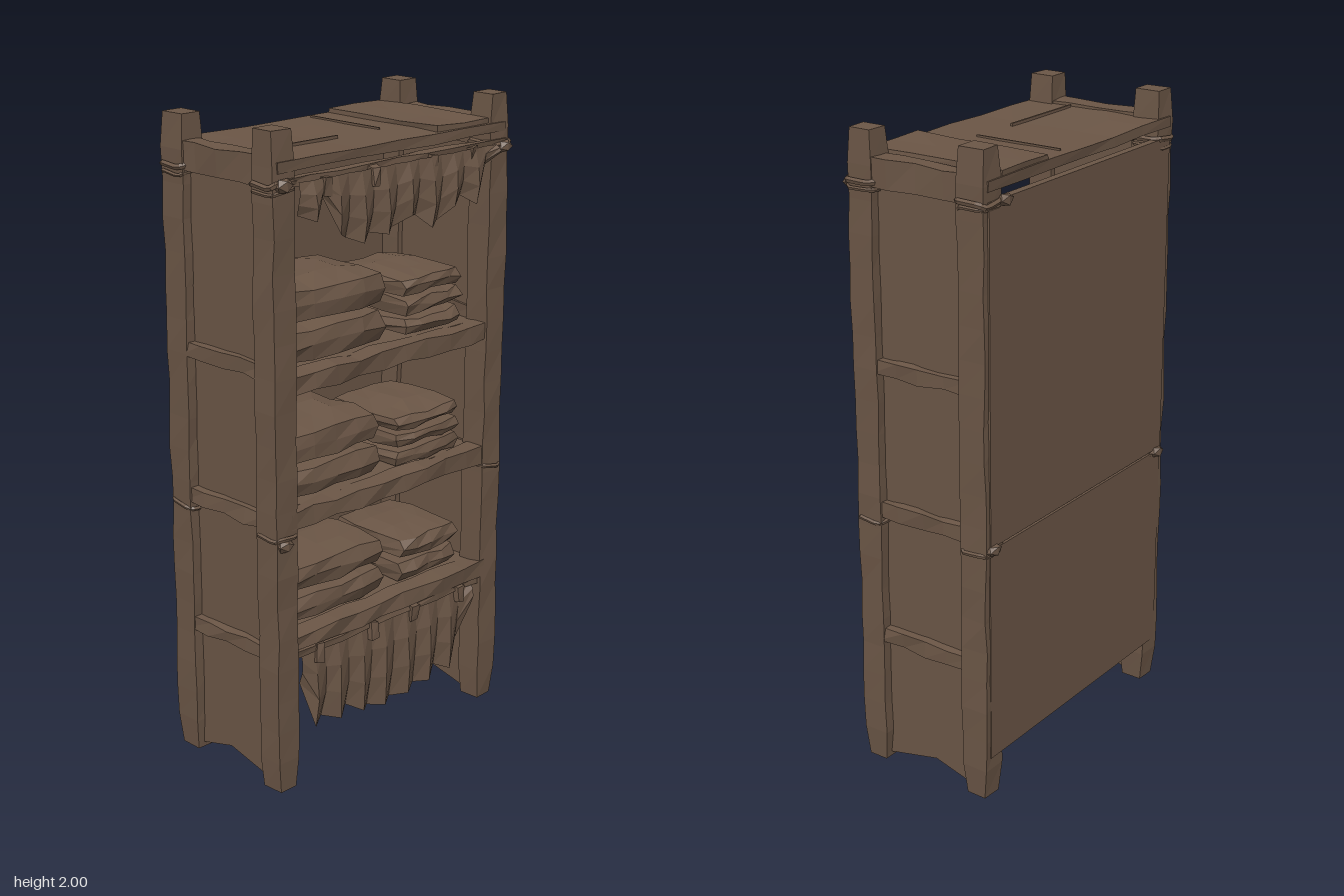
import * as THREE from 'three';

export function createModel() {
  const model = new THREE.Group();
  model.name = 'storageShelf';
  const wood = new THREE.MeshStandardMaterial({ color: 0x6b5646, flatShading: true });
  wood.name = 'brown wood';
  const cloth = new THREE.MeshStandardMaterial({ color: 0x6b5646, flatShading: true, side: THREE.DoubleSide });
  cloth.name = 'brown cloth';

  // small seeded generator for worn edges
  let seed = 7;
  const rnd = () => (seed = (seed * 16807) % 2147483647) / 2147483647 - 0.5;

  const add = (name, geo, mat = wood, parent = model) => {
    geo.computeVertexNormals();
    const mesh = new THREE.Mesh(geo, mat);
    mesh.name = name;
    parent.add(mesh);
    return mesh;
  };

  // move vertices by a rule; coincident corners always move together
  const warp = (geo, rule) => {
    const p = geo.attributes.position, v = new THREE.Vector3(), seen = {};
    for (let i = 0; i < p.count; i++) {
      v.fromBufferAttribute(p, i);
      const key = v.toArray().map(n => Math.round(n * 1e4)).join();
      if (!seen[key]) { rule(v); seen[key] = v.clone(); }
      p.setXYZ(i, ...seen[key].toArray());
    }
    return geo;
  };

  // box given by its limits, with optional worn edges
  const beam = (name, x0, x1, y0, y1, z0, z1, worn = 0, seg = [1, 1, 1]) => {
    const geo = new THREE.BoxGeometry(x1 - x0, y1 - y0, z1 - z0, ...seg);
    geo.translate((x0 + x1) / 2, (y0 + y1) / 2, (z0 + z1) / 2);
    if (worn) warp(geo, v => { v.x += rnd() * worn; v.y += rnd() * worn; v.z += rnd() * worn; });
    return add(name, geo);
  };

  // four-sided ring of rope around a rectangle
  const rope = (name, x, z, hx, hz, y, r) => {
    const c = 0.015;
    const pts = [[hx, hz - c], [hx - c, hz], [c - hx, hz], [-hx, hz - c], [-hx, c - hz], [c - hx, -hz], [hx - c, -hz], [hx, c - hz]]
      .map(([a, b]) => new THREE.Vector3(x + a, y + rnd() * 0.015, z + b));
    const path = new THREE.CatmullRomCurve3(pts, true, 'catmullrom', 0.15);
    add(name, new THREE.TubeGeometry(path, 24, r, 5, true));
  };

  // corner posts with bevelled feet and tapered heads
  for (const s of [-1, 1]) for (const [z0, z1, end] of [[0.14, 0.225, 'front'], [-0.245, -0.155, 'back']]) {
    const d = z1 - z0, geo = new THREE.BoxGeometry(0.08, 2, d, 1, 20, 1);
    geo.translate(s * 0.441, 1, (z0 + z1) / 2);
    warp(geo, v => {
      const cx = s * 0.441, cz = (z0 + z1) / 2;
      const k = v.y < 0.05 ? 0.78 : v.y > 1.95 ? 0.88 : 1;
      v.x = cx + (v.x - cx) * k + rnd() * 0.006;
      v.z = cz + (v.z - cz) * k + rnd() * 0.006;
    });
    add(end + 'Post', geo);
    rope('topLashing', s * 0.441, (z0 + z1) / 2, 0.046, 0.048, 1.85, 0.009);
    rope('topLashing', s * 0.441, (z0 + z1) / 2, 0.044, 0.047, 1.83, 0.006);
    rope('middleLashing', s * 0.441, (z0 + z1) / 2, 0.042, 0.046, 0.82, 0.007);
  }

  // side panels with notched lower edge, and side rails
  for (const s of [-1, 1]) {
    const outline = new THREE.Shape();
    [[-0.17, 0.015], [-0.03, 0.055], [0.15, 0.015], [0.15, 1.86], [-0.17, 1.86]]
      .forEach(([z, y], i) => i ? outline.lineTo(-z, y) : outline.moveTo(-z, y));
    const geo = new THREE.ExtrudeGeometry(outline, { depth: 0.03, bevelEnabled: false });
    geo.rotateY(Math.PI / 2).translate(s * 0.435 - 0.015, 0, 0);
    add('sidePanel', geo);
    const lo = Math.min(s * 0.41, s * 0.475), hi = Math.max(s * 0.41, s * 0.475);
    for (const y of [0.42, 0.84, 1.29])
      beam('sideRail', lo, hi, y, y + 0.045, -0.18, 0.16, 0.012, [1, 1, 4]);
    beam('topSideRail', lo, hi, 1.84, 1.925, -0.2, 0.18, 0.01, [1, 1, 4]);
  }

  // back boards, upper and lower
  beam('upperBackBoard', -0.462, 0.462, 0.838, 1.855, -0.25, -0.225);
  beam('lowerBackBoard', -0.462, 0.462, 0.14, 0.83, -0.248, -0.225);

  // top boards and hanging rod
  beam('topBoard', -0.462, 0.462, 1.885, 1.915, -0.25, 0.228, 0.006, [6, 1, 4]);
  beam('raisedTopPlank', 0.18, 0.4, 1.9, 1.932, -0.245, 0.215, 0.008, [2, 1, 3]);
  beam('topSeam', 0.08, 0.086, 1.91, 1.922, -0.22, 0.07);
  beam('topSeam', -0.4, -0.09, 1.91, 1.922, 0.068, 0.075);
  beam('hangingRod', -0.46, 0.46, 1.842, 1.865, 0.2, 0.232, 0.008, [8, 1, 1]);

  // shelves with worn front lips
  for (const [y0, y1] of [[1.245, 1.295], [0.835, 0.885], [0.445, 0.49]]) {
    beam('shelf', -0.425, 0.425, y1 - 0.03, y1, -0.23, 0.17);
    beam('shelfLip', -0.42, 0.42, y0, y1 + 0.004, 0.16, 0.222, 0.014, [9, 1, 1]);
  }
  beam('lowerClothRail', -0.42, 0.42, 0.42, 0.44, 0.17, 0.215, 0.01, [8, 1, 1]);

  // folded cloth bundles: plump cushions stacked on each shelf
  const stack = (x0, x1, y0, y1, count) => {
    const group = new THREE.Group();
    group.name = 'foldedClothStack';
    model.add(group);
    const h = (y1 - y0) / count, w = x1 - x0;
    for (let i = 0; i < count; i++) {
      const geo = new THREE.BoxGeometry(w, h, 0.32, 4, 2, 3);
      warp(geo, v => {
        const edge = Math.abs(v.y) > h * 0.4;
        const ex = Math.abs(v.x) / (w / 2), ez = Math.abs(v.z) / 0.16;
        if (edge) {
          v.x *= 0.95; v.z *= 0.92;
          if (ex > 0.9 || ez > 0.9) v.y *= 0.76;
        }
        if (ex > 0.9 && ez > 0.9) { v.x *= 0.96; v.z *= 0.94; }
        v.x += rnd() * 0.012; v.y += rnd() * 0.012; v.z += rnd() * 0.015;
      });
      const m = add('foldedCloth', geo, wood, group);
      m.position.set((x0 + x1) / 2 + rnd() * 0.01, y0 + h * (i + 0.5), 0.01);
    }
  };
  stack(-0.37, 0.03, 1.295, 1.53, 2);
  stack(0.1, 0.355, 1.295, 1.48, 3);
  stack(-0.36, 0.005, 0.885, 1.1, 2);
  stack(0.07, 0.355, 0.885, 1.05, 3);
  stack(-0.36, 0.03, 0.49, 0.68, 2);
  stack(0.095, 0.355, 0.49, 0.64, 2);

  // hanging cloth: pleated sheet whose hem follows a few heights
  const drape = (name, x0, x1, top, z, fold, hem) => {
    const cols = hem.length - 1;
    const geo = new THREE.PlaneGeometry(1, 1, cols, 3);
    const p = geo.attributes.position;
    for (let i = 0; i < p.count; i++) {
      const c = Math.round((p.getX(i) + 0.5) * cols), t = 0.5 - p.getY(i);
      p.setXYZ(i,
        x0 + (x1 - x0) * c / cols + rnd() * 0.012 * t,
        top + (hem[c] - top) * t,
        z + (c % 2 ? fold : -fold) * (0.3 + t) + Math.sin(t * Math.PI) * 0.012);
    }
    add(name, geo, cloth);
  };
  drape('upperCurtain', -0.4, 0.4, 1.855, 0.245, 0.012,
    [1.76, 1.74, 1.8, 1.69, 1.67, 1.65, 1.67, 1.66, 1.67, 1.7, 1.69, 1.65, 1.66, 1.7, 1.72, 1.69, 1.79, 1.83]);
  drape('lowerCurtain', -0.37, 0.37, 0.435, 0.205, 0.012,
    [0.32, 0.17, 0.18, 0.16, 0.18, 0.15, 0.145, 0.135, 0.14, 0.14, 0.15, 0.15, 0.18, 0.16, 0.24, 0.36]);

  // cloth ties along both curtains
  for (const [y, z, xs] of [[1.845, 0.238, [-0.3, -0.11, 0.13, 0.3]], [0.425, 0.212, [-0.31, -0.08, 0.1, 0.31]]])
    for (const x of xs) beam('curtainTie', x - 0.015, x + 0.015, y - 0.04, y + 0.015, z - 0.015, z + 0.015, 0.012);

  // loose knots on the frame
  for (const [x, y, z] of [[0.39, 1.85, -0.25], [-0.45, 1.85, 0.235], [0.45, 1.84, 0.235], [-0.45, 0.8, 0.225], [0.45, 0.83, -0.25], [-0.44, 0.83, -0.25]]) {
    const knot = add('ropeKnot', warp(new THREE.IcosahedronGeometry(0.02), v => { v.x *= 1.6; v.y += rnd() * 0.01; }));
    knot.position.set(x, y, z);
  }
  return model;
}
